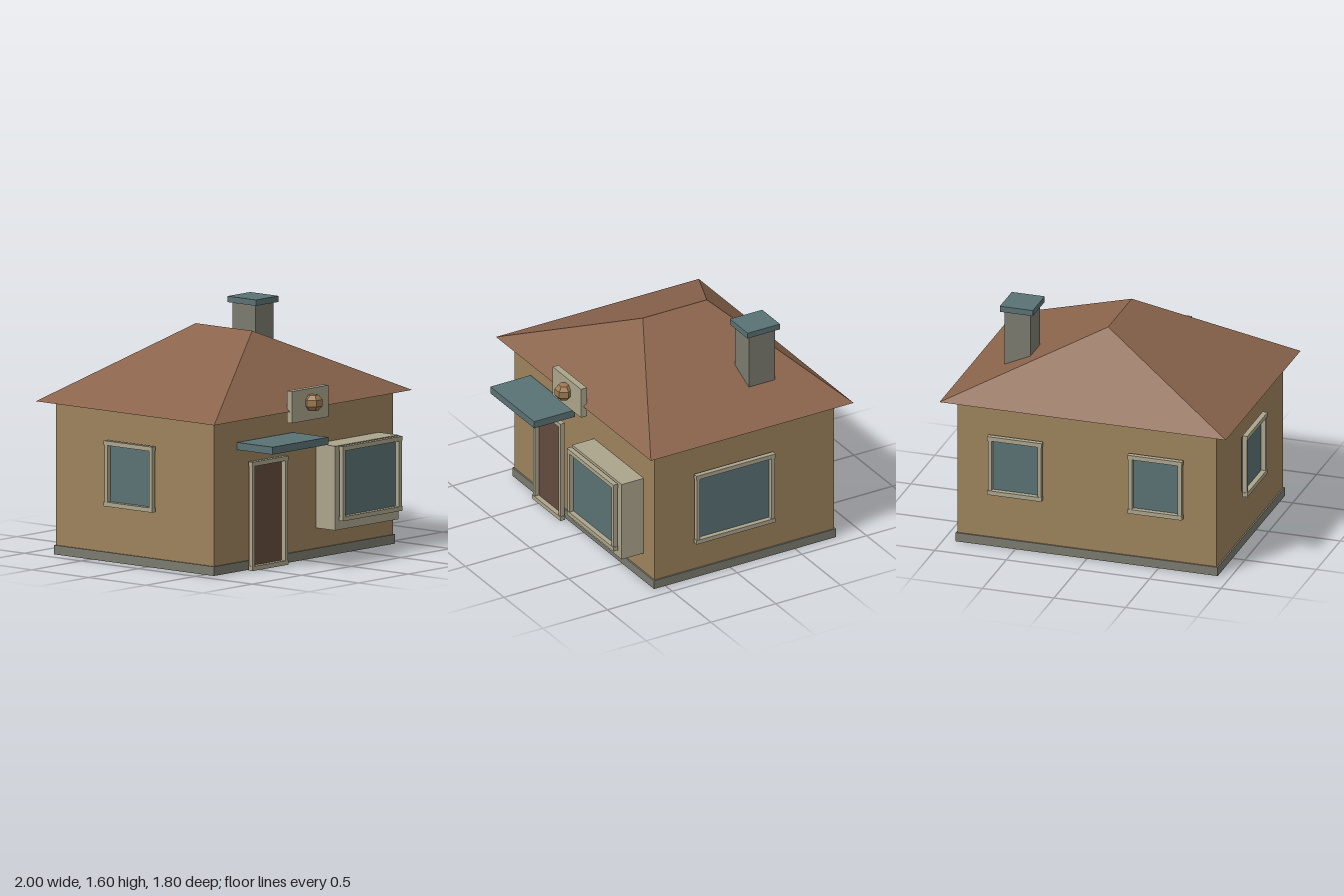
import * as THREE from 'three';

const mat = (name, color) => {
  const m = new THREE.MeshStandardMaterial({ color });
  m.name = name;
  return m;
};

export function createModel() {
  const house = new THREE.Group();
  house.name = 'house';
  const wall = mat('tan wall', 0x9c825c);
  const roofMat = mat('brown roof', 0x8a644c);
  const trim = mat('pale trim', 0xaba48c);
  const teal = mat('teal', 0x5a7274);
  const doorMat = mat('dark door', 0x624a3c);
  const stone = mat('grey stone', 0x7a7a6e);
  const brass = mat('ochre ornament', 0x9c7a50);
  brass.flatShading = true;

  // Box given by its extents along each axis
  const box = (name, material, [x0, x1], [y0, y1], [z0, z1], parent = house) => {
    const mesh = new THREE.Mesh(new THREE.BoxGeometry(x1 - x0, y1 - y0, z1 - z0), material);
    mesh.position.set((x0 + x1) / 2, (y0 + y1) / 2, (z0 + z1) / 2);
    mesh.name = name;
    parent.add(mesh);
    return mesh;
  };

  // Framed panel facing +z, standing off the wall at its local z = 0
  const framed = (name, panel, w, h, position, turn = 0) => {
    const g = new THREE.Group();
    g.name = name;
    const b = 0.03, x = w / 2, y = h / 2, depth = [0.023, 0.058];
    box(name + 'Panel', panel, [-x + 0.025, x - 0.025], [-y + 0.025, y - 0.025], [0.01, 0.023], g);
    for (const s of [-1, 1]) {
      const rail = [s * (y - b), s * y].sort((p, q) => p - q);
      const post = [s * (x - b), s * (x - 0.004)].sort((p, q) => p - q);
      box(name + 'Rail', trim, [-x, x], rail, depth, g);
      box(name + 'Post', trim, post, [-y + b, y - b], [0.023, 0.054], g);
    }
    g.position.set(...position);
    g.rotation.y = turn;
    house.add(g);
  };

  // Body
  box('walls', wall, [-0.905, 0.905], [0.004, 1.03], [-0.805, 0.58]);
  box('plinth', stone, [-0.915, 0.915], [0.002, 0.064], [-0.815, 0.59]);

  // Hipped roof: four eave corners, two ridge ends, flat underside
  const A = [-1, 1.03, 0.665], B = [1, 1.03, 0.665], C = [1, 1.03, -0.9], D = [-1, 1.03, -0.9];
  const F = [0, 1.49, 0.13], K = [0, 1.49, -0.365];
  const faces = [A, B, F, B, C, K, B, K, F, C, D, K, D, A, F, D, F, K, A, D, C, A, C, B];
  const roofGeo = new THREE.BufferGeometry();
  roofGeo.setAttribute('position', new THREE.Float32BufferAttribute(faces.flat(), 3));
  roofGeo.computeVertexNormals();
  const roof = new THREE.Mesh(roofGeo, roofMat);
  roof.name = 'roof';
  house.add(roof);

  // Chimney
  box('chimney', stone, [0.505, 0.685], [1.17, 1.56], [-0.48, -0.28]);
  box('chimneyCap', teal, [0.48, 0.71], [1.56, 1.6], [-0.505, -0.255]);

  // Door and canopy
  framed('door', doorMat, 0.365, 0.73, [-0.398, 0.365, 0.58]);
  box('canopy', teal, [-0.68, -0.115], [0.82, 0.87], [0.59, 0.9]);

  // Bay and windows
  box('bay', trim, [0.125, 0.765], [0.2, 0.765], [0.57, 0.75]);
  framed('bayWindow', teal, 0.6, 0.5, [0.445, 0.515, 0.745]);
  framed('leftWindow', teal, 0.61, 0.515, [0.905, 0.533, -0.015], Math.PI / 2);
  framed('rightWindow', teal, 0.425, 0.44, [-0.905, 0.6, -0.125], -Math.PI / 2);
  for (const s of [-1, 1]) framed('backWindow', teal, 0.38, 0.42, [s * 0.49, 0.6, -0.805], Math.PI);

  // Plaque with a faceted ornament
  box('plaque', trim, [-0.235, 0.13], [0.955, 1.168], [0.64, 0.685]);
  const profile = [[0, -0.056], [0.036, -0.052], [0.062, -0.022], [0.062, 0.022], [0.036, 0.052], [0, 0.056]]
    .map(([r, y]) => new THREE.Vector2(r, y));
  const ornament = new THREE.Mesh(new THREE.LatheGeometry(profile, 6, Math.PI / 2), brass);
  ornament.name = 'ornament';
  ornament.position.set(-0.05, 1.075, 0.71);
  house.add(ornament);

  return house;
}
